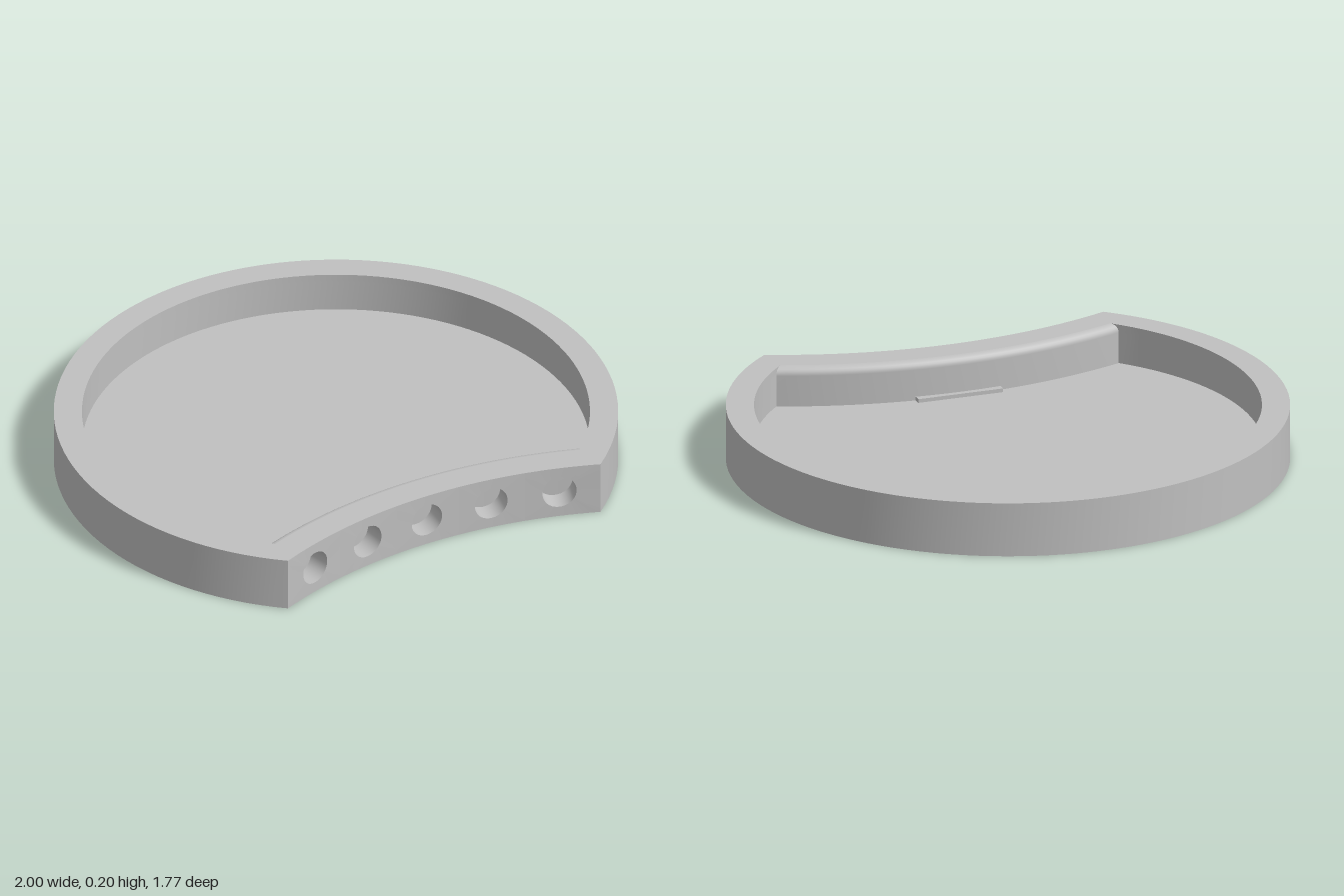
import * as THREE from 'three';
import { mergeVertices } from 'three/addons/utils/BufferGeometryUtils.js';

const H = 0.2, FLOOR = 0.055;
const ZC = 0.11;                     // centre of the round tray
const ZF = 2.455, RF = 1.7;          // centre and radius of the concave front
const R_OUT = 1, R_IN = 0.9, WALL = 0.135, FILLET = 0.03;

// Half angles, about each centre, at which circle r meets front arc f
function meet(r, f) {
  const D = ZF - ZC, a = (D * D + r * r - f * f) / (2 * D);
  return { back: Math.acos(a / r), front: Math.acos((D - a) / f) };
}

function backArc(r, f, y, n = 96) {
  const t0 = meet(r, f).back;
  return Array.from({ length: n + 1 }, (_, i) => {
    const t = t0 + (2 * Math.PI - 2 * t0) * i / n;
    return new THREE.Vector3(r * Math.sin(t), y, ZC + r * Math.cos(t));
  });
}

// Wrap a point at arc length s, height y, depth d onto the concave front
function bend(s, y, d) {
  const a = s / RF;
  return new THREE.Vector3((RF + d) * Math.sin(a), y, ZF - (RF + d) * Math.cos(a));
}

function frontArc(r, f, y, n = 40) {
  const b = meet(r, f).front;
  return Array.from({ length: n + 1 }, (_, i) => bend(RF * b * (2 * i / n - 1), y, f - RF));
}

// Smooth surface through rows of points
function sheet(rows) {
  const w = rows[0].length, index = [];
  for (let i = 0; i < rows.length - 1; i++) {
    for (let j = 0; j < w - 1; j++) {
      const a = i * w + j, b = a + 1, c = b + w, d = a + w;
      index.push(a, b, c, a, c, d);
    }
  }
  const g = new THREE.BufferGeometry().setFromPoints(rows.flat());
  g.setIndex(index);
  const merged = mergeVertices(g, 1e-5);
  merged.computeVertexNormals();
  return merged;
}

// Flat horizontal face bounded by the tray outline
function plate(r, f, y, up, hole) {
  const k = up ? -1 : 1;
  const outline = (rr, ff) =>
    [...backArc(rr, ff, 0), ...frontArc(rr, ff, 0).slice(1, -1)].map(p => new THREE.Vector2(p.x, k * p.z));
  const shape = new THREE.Shape(outline(r, f));
  if (hole) shape.holes.push(new THREE.Path(outline(hole.r, hole.f)));
  return new THREE.ShapeGeometry(shape).rotateX(k * Math.PI / 2).translate(0, y, 0);
}

export function createModel() {
  const model = new THREE.Group();
  model.name = 'crescentTray';
  const grey = new THREE.MeshStandardMaterial({ color: 0xc0c0c0 });
  grey.name = 'grey';
  const add = (name, geometry, parent = model) => {
    const mesh = new THREE.Mesh(geometry, grey);
    mesh.name = name;
    parent.add(mesh);
  };

  // Inner front wall profile: rounded over at the top, then straight down
  const profile = [];
  for (let i = 0; i <= 6; i++) {
    const a = Math.PI / 2 * i / 6;
    profile.push({ f: RF + WALL - FILLET * (1 - Math.sin(a)), y: H - FILLET * (1 - Math.cos(a)) });
  }
  const wallFoot = { f: RF + WALL, y: FLOOR };
  const inner = [...profile, wallFoot];

  // Tray body
  add('base', plate(R_OUT, RF, 0, false));
  add('trayFloor', plate(R_IN, RF + WALL, FLOOR, true));
  add('rim', plate(R_OUT, RF, H, true, { r: R_IN, f: profile[0].f }));
  add('outerWall', sheet([backArc(R_OUT, RF, 0), backArc(R_OUT, RF, H)]));
  add('innerWall', sheet(inner.map(p => backArc(R_IN, p.f, p.y))));
  add('innerFrontWall', sheet(inner.map(p => frontArc(R_IN, p.f, p.y))));

  // Concave front made of five panels, each with a blind round socket
  const front = new THREE.Group();
  front.name = 'frontFace';
  model.add(front);
  const end = RF * meet(R_OUT, RF).front;
  const pitch = 0.2535, radius = 0.062, depth = 0.08, cy = 0.1, n = 10;
  for (let k = -2; k <= 2; k++) {
    const c = k * pitch;
    const s0 = k === -2 ? -end : c - pitch / 2, s1 = k === 2 ? end : c + pitch / 2;
    const corners = [[s0, 0], [s1, 0], [s1, H], [s0, H], [s0, 0]];
    const edge = [];
    for (let q = 0; q < 4; q++) {
      for (let i = 0; i < n; i++) {
        const t = i / n, [a, b] = [corners[q], corners[q + 1]];
        edge.push([a[0] + (b[0] - a[0]) * t, a[1] + (b[1] - a[1]) * t]);
      }
    }
    edge.push(corners[4]);
    const circle = (r, d) => edge.map(([s, y]) => {
      const a = Math.atan2(y - cy, s - c);
      return bend(c + r * Math.cos(a), cy + r * Math.sin(a), d);
    });
    add('frontPanel', sheet([edge.map(([s, y]) => bend(s, y, 0)), circle(radius, 0)]), front);
    add('socketWall', sheet([circle(radius, 0), circle(radius, depth)]), front);
    add('socketEnd', sheet([circle(radius, depth), circle(0, depth)]), front);
  }

  // Small straight ledge at the foot of the inner front wall
  add('ledge', new THREE.BoxGeometry(0.32, 0.014, 0.03).translate(0, FLOOR + 0.007, 0.615));
  return model;
}
